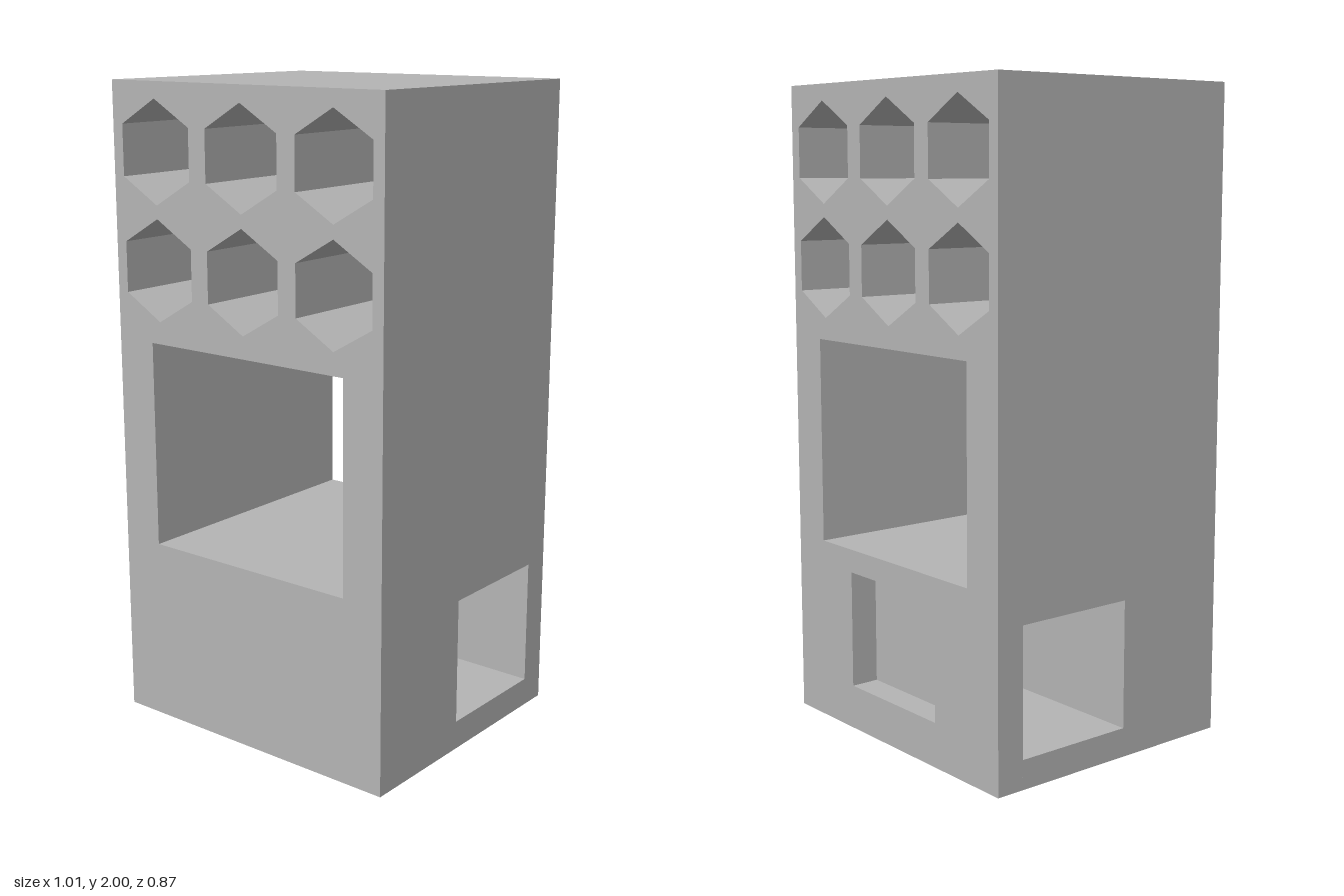
import * as THREE from 'three';

const W = 0.505, D = 0.435;          // half width and half depth
const SPLIT = 0.53;                  // height where the base meets the upper body
const TUNNEL = { z0: -0.345, z1: 0.05, y0: 0.09, y1: 0.485 };

function trace(path, points) {
  points.forEach(([x, y], i) => (i ? path.lineTo(x, y) : path.moveTo(x, y)));
  path.closePath();
  return path;
}

const rect = (x0, y0, x1, y1) => [[x0, y0], [x1, y0], [x1, y1], [x0, y1]];

function hexagon(cx, cy, r) {
  return Array.from({ length: 6 }, (_, i) => {
    const a = Math.PI / 6 + (i * Math.PI) / 3;
    return [cx + r * Math.cos(a), cy + r * Math.sin(a)];
  });
}

function extrude(outline, holes, depth) {
  const shape = trace(new THREE.Shape(), outline);
  holes.forEach((h) => shape.holes.push(trace(new THREE.Path(), h)));
  return new THREE.ExtrudeGeometry(shape, { depth, bevelEnabled: false });
}

export function createModel() {
  const model = new THREE.Group();
  model.name = 'cabinet';
  const grey = new THREE.MeshStandardMaterial({ color: 0xb4b4b4 });
  grey.name = 'grey';
  const greyThin = grey.clone();
  greyThin.name = 'grey';
  greyThin.side = THREE.DoubleSide;

  const add = (name, geometry, material = grey) => {
    const mesh = new THREE.Mesh(geometry, material);
    mesh.name = name;
    model.add(mesh);
    return mesh;
  };

  // Upper body: two rows of hexagonal cells above a large through opening
  const holes = [rect(-0.368, 0.578, 0.368, 1.222)];
  for (const y of [1.445, 1.795])
    for (const x of [-0.333, 0, 0.333]) holes.push(hexagon(x, y, 0.155));
  add('upperBody', extrude(rect(-W, SPLIT, W, 2), holes, 2 * D).translate(0, 0, -D));

  // Base: side-to-side tunnel, its profile open towards the back wall
  const { z0, z1, y0, y1 } = TUNNEL;
  const profile = [[z0, 0], [D, 0], [D, SPLIT], [z0, SPLIT], [z0, y1], [z1, y1], [z1, y0], [z0, y0]];
  add('base', extrude(profile, [], 2 * W).translate(0, 0, -W).rotateY(-Math.PI / 2));

  // Back wall of the base with its square recess
  add('backWall', extrude(rect(-W, 0, W, SPLIT), [rect(-0.213, 0.138, 0.213, 0.505)], z0 + D)
    .translate(0, 0, -D));

  // Thin panel closing the recess from the tunnel
  add('recessPanel', new THREE.PlaneGeometry(0.426, y1 - y0), greyThin)
    .position.set(0, (y0 + y1) / 2, z0);

  // Small catch hanging inside the tunnel behind the recess
  add('catch', new THREE.BoxGeometry(0.14, 0.145, 0.025))
    .position.set(0, y1 - 0.0725, z0 + 0.0125);

  return model;
}
